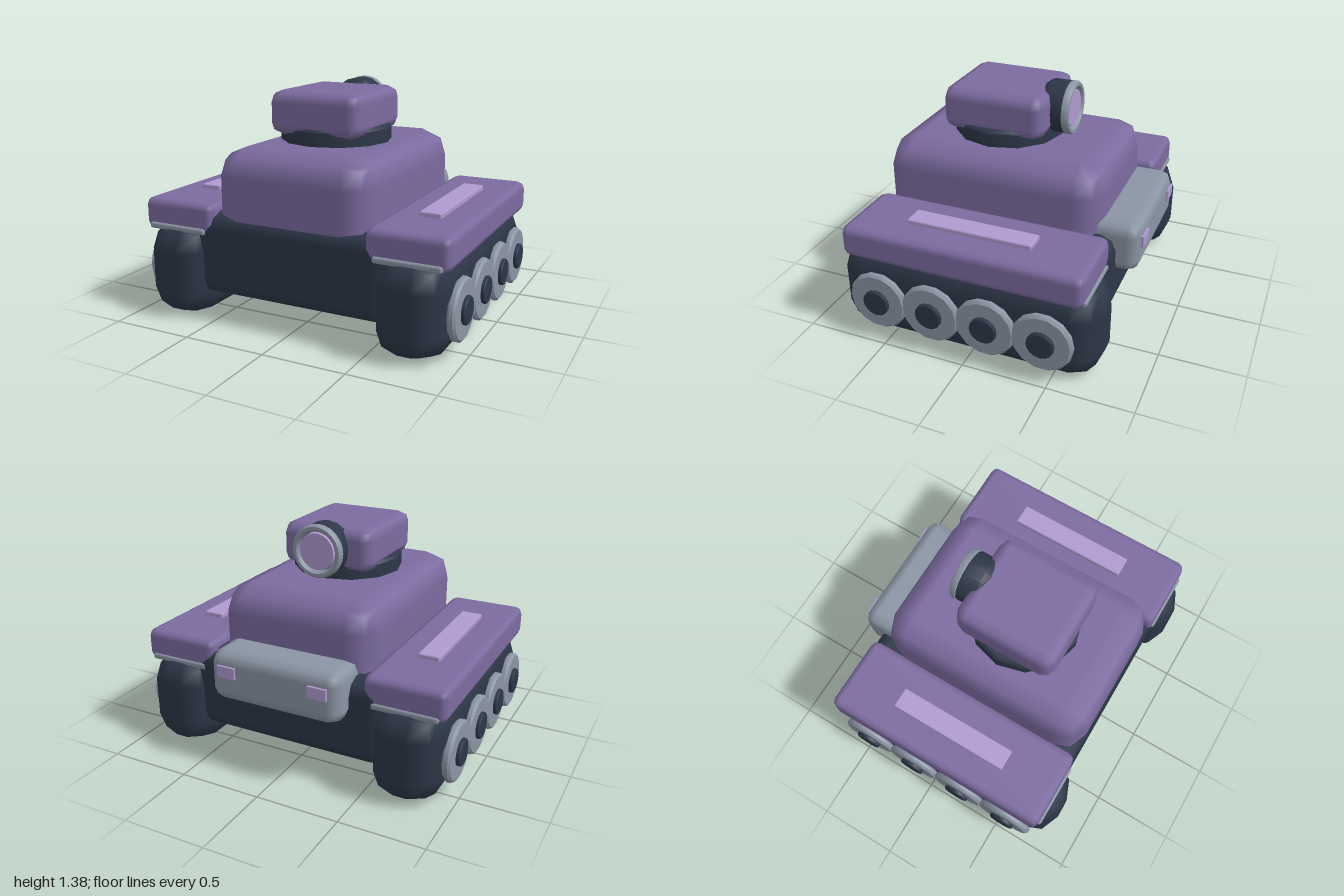
import * as THREE from 'three';
import { RoundedBoxGeometry } from 'three/addons/geometries/RoundedBoxGeometry.js';
import { toCreasedNormals } from 'three/addons/utils/BufferGeometryUtils.js';

const paint = (name, color) => {
  const m = new THREE.MeshStandardMaterial({ color });
  m.name = name;
  return m;
};

export function createModel() {
  const purple = paint('purple armour', 0x7c6ba0);
  const dark = paint('dark slate', 0x2d3748);
  const grey = paint('steel grey', 0x8b95a4);
  const lilac = paint('lilac light', 0xb09ad0);
  const root = new THREE.Group();
  root.name = 'tank';

  const add = (name, geometry, material, parent = root) => {
    const mesh = new THREE.Mesh(geometry, material);
    mesh.name = name;
    parent.add(mesh);
    return mesh;
  };

  // Rounded box given by its extents on each axis
  const block = (name, [x0, x1], [y0, y1], [z0, z1], radius, segments, material, parent) => {
    const g = new RoundedBoxGeometry(x1 - x0, y1 - y0, z1 - z0, segments, radius);
    g.translate((x0 + x1) / 2, (y0 + y1) / 2, (z0 + z1) / 2);
    return add(name, g, material, parent);
  };

  // Turned part from [radius, height] pairs, listed from bottom to top
  const turned = (points, sides) => {
    const g = new THREE.LatheGeometry(points.map(([r, y]) => new THREE.Vector2(r, y)), sides);
    return toCreasedNormals(g, 0.7);
  };

  // Hull and upper body
  block('hull', [-0.62, 0.62], [0.16, 0.66], [-0.69, 0.75], 0.09, 1, dark);
  block('upperBody', [-0.49, 0.49], [0.5, 1.04], [-0.6, 0.74], 0.16, 1, purple);

  // Running gear on both sides
  for (const [label, s] of [['left', 1], ['right', -1]]) {
    const side = new THREE.Group();
    side.name = label + 'Side';
    root.add(side);
    const span = (a, b) => (s > 0 ? [a, b] : [-b, -a]);

    block('track', span(0.52, 0.94), [0, 0.58], [-0.76, 0.83], 0.17, 1, dark, side);
    block('fender', span(0.48, 0.96), [0.52, 0.71], [-0.68, 0.755], 0.045, 1, purple, side);
    block('fenderTrim', span(0.53, 0.92), [0.525, 0.565], [-0.69, 0.768], 0.015, 1, grey, side);
    block('fenderStrip', span(0.655, 0.785), [0.7, 0.738], [-0.33, 0.42], 0.01, 1, lilac, side);

    // Four wheels with hubs
    for (let i = 0; i < 4; i++) {
      const wheel = new THREE.Group();
      wheel.name = 'wheel' + (i + 1);
      wheel.position.set(s * 0.93, 0.27, 0.54 - i * 0.334);
      wheel.rotation.z = -s * Math.PI / 2;
      side.add(wheel);
      add('wheelDisc', turned([[0, 0], [0.165, 0], [0.179, 0.014], [0.179, 0.034], [0.165, 0.048], [0, 0.048]], 14), grey, wheel);
      add('wheelHub', turned([[0, 0.03], [0.08, 0.03], [0.08, 0.064], [0.073, 0.07], [0, 0.07]], 16), dark, wheel);
    }
  }

  // Turret collar and head
  const collar = add('turretCollar',
    turned([[0, -0.04], [0.33, -0.04], [0.33, 0.08], [0.315, 0.095], [0, 0.095]], 12), dark);
  collar.position.set(0, 1.04, 0.12);
  block('turretHead', [-0.29, 0.29], [1.085, 1.345], [-0.19, 0.435], 0.07, 1, purple);

  // Backward-facing lens: barrel, ring and glass
  const lens = new THREE.Group();
  lens.name = 'lens';
  lens.position.set(0, 1.22, 0);
  lens.rotation.x = -Math.PI / 2;
  root.add(lens);
  add('lensBarrel', turned([[0, 0.09], [0.125, 0.11], [0.155, 0.145], [0.155, 0.255], [0, 0.255]], 16), dark, lens);
  add('lensRing', turned([[0.115, 0.25], [0.148, 0.25], [0.158, 0.26], [0.158, 0.285], [0.148, 0.298],
    [0.13, 0.298], [0.118, 0.285], [0.115, 0.25]], 24), grey, lens);
  add('lensGlass', turned([[0, 0.25], [0.115, 0.25], [0.108, 0.288], [0, 0.288]], 24), lilac, lens);

  // Rear stowage box with tail lights
  block('rearBox', [-0.41, 0.41], [0.43, 0.737], [-0.82, -0.5], 0.075, 1, grey);
  for (const x of [-0.288, 0.288]) {
    block('tailLight', [x - 0.058, x + 0.058], [0.587, 0.66], [-0.832, -0.81], 0.004, 1, lilac);
  }

  return root;
}
